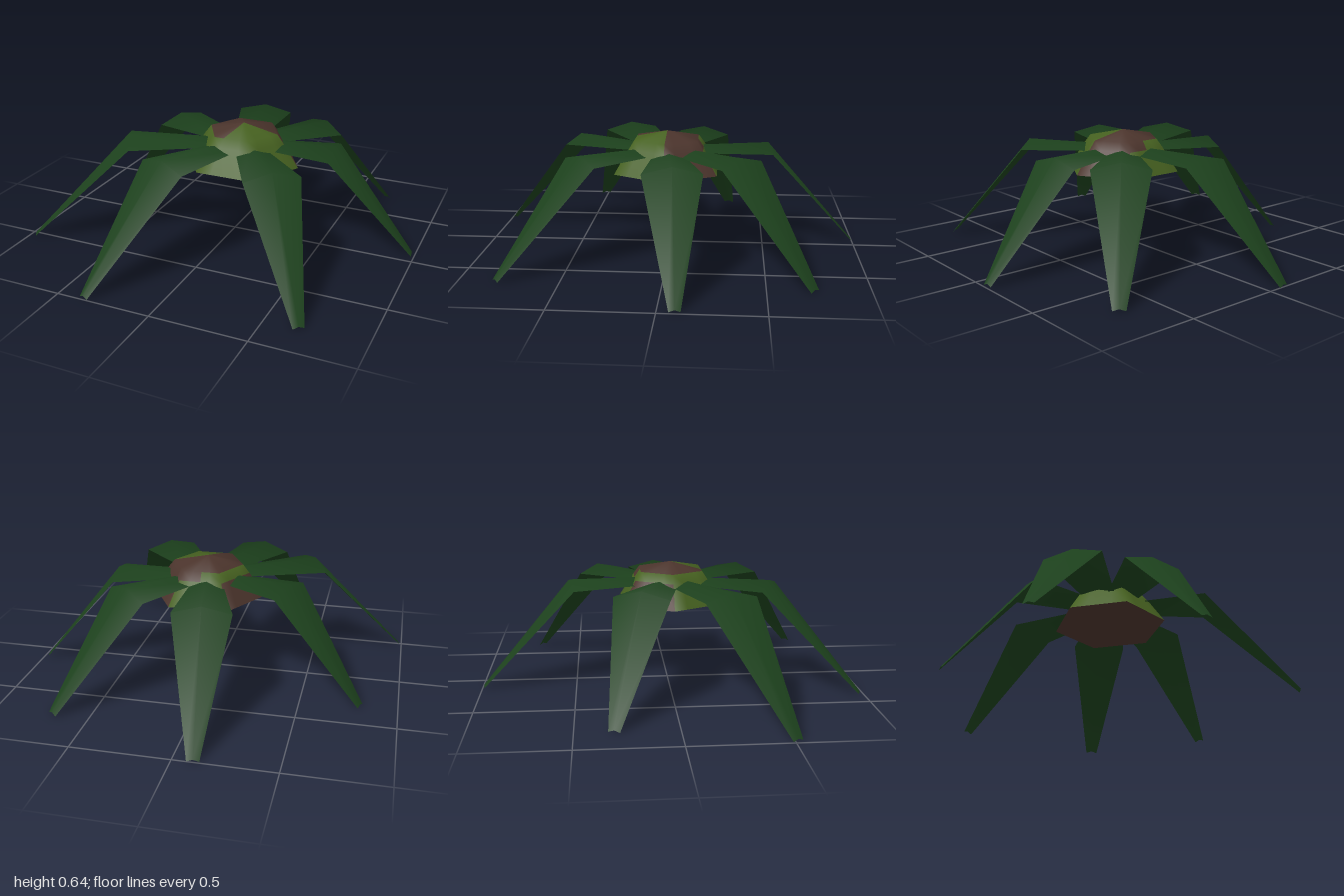
import * as THREE from 'three';
import { toCreasedNormals } from 'three/addons/utils/BufferGeometryUtils.js';

const flat = (name, color) => {
  const m = new THREE.MeshStandardMaterial({ color });
  m.name = name;
  return m;
};

const CX = 0.06, CZ = 0.02; // centre of the crown

// Grid of rows of points -> indexed geometry; pick(row, col) gives the material group.
function gridGeometry(rows, pick = () => 0, groups = 1) {
  const cols = rows[0].length;
  const geo = new THREE.BufferGeometry();
  geo.setAttribute('position', new THREE.Float32BufferAttribute(rows.flat(2), 3));
  const lists = Array.from({ length: groups }, () => []);
  for (let r = 0; r < rows.length - 1; r++) {
    for (let c = 0; c < cols - 1; c++) {
      const a = r * cols + c, b = a + 1, d = a + cols, e = d + 1;
      lists[pick(r, c)].push(a, b, d, b, e, d);
    }
  }
  geo.setIndex(lists.flat());
  let start = 0;
  lists.forEach((l, i) => { geo.addGroup(start, l.length, i); start += l.length; });
  return geo;
}

// Six-sided bulb with a low pointed cap and a shallow hollow underneath
function makeCore(green, brown) {
  const profile = [[0.001, 0.465], [0.31, 0.43], [0.225, 0.555], [0.19, 0.6], [0.001, 0.64]];
  const steps = 24;
  const rows = profile.map(([radius, y]) => {
    const row = [];
    for (let i = 0; i <= steps; i++) {
      // rows rise while the angle falls, so faces turn outward
      const deg = 360 - i * 15;
      const t = THREE.MathUtils.degToRad(deg);
      const fold = THREE.MathUtils.degToRad((deg % 60) - 30);
      const k = radius * Math.cos(Math.PI / 6) / Math.cos(fold);
      row.push([CX + k * Math.cos(t), y, CZ + k * Math.sin(t)]);
    }
    return row;
  });
  // patches of green (0) and brown (1): hollow, side, shoulder, cap
  const pick = (r, c) => {
    const deg = 352.5 - c * 15;
    if (r === 0) return 1;
    if (r === 1) return deg < 180 || (deg > 240 && deg < 300) ? 0 : 1;
    if (r === 2) return deg < 270 ? 0 : 1;
    return deg < 105 ? 0 : 1;
  };
  const geo = toCreasedNormals(gridGeometry(rows, pick, 2), 1.05);
  const mesh = new THREE.Mesh(geo, [green, brown]);
  mesh.name = 'core';
  return mesh;
}

// Drooping leaf: root, knee and tip, each with a raised midrib
function makeLeaf([ax, az, bx, bz, tax, taz, tbx, tbz, kneeY], material) {
  const dir = new THREE.Vector2((ax + bx) / 2 - CX, (az + bz) / 2 - CZ).normalize();
  const rx = CX + dir.x * 0.1, rz = CZ + dir.y * 0.1, w = 0.075;
  const section = (x1, z1, x2, z2, edgeY, midY) => [
    [x1, edgeY, z1], [(x1 + x2) / 2, midY, (z1 + z2) / 2], [x2, edgeY, z2],
  ];
  const rows = [
    section(tax, taz, tbx, tbz, 0, 0.01),
    section(ax, az, bx, bz, kneeY - 0.037, kneeY),
    section(rx + dir.y * w, rz - dir.x * w, rx - dir.y * w, rz + dir.x * w, 0.53, 0.558),
  ];
  const geo = gridGeometry(rows);
  // turn the upper side upward
  geo.computeVertexNormals();
  if (geo.attributes.normal.getY(4) < 0) {
    geo.setIndex(Array.from(geo.index.array).reverse());
    geo.computeVertexNormals();
  }
  return new THREE.Mesh(geo, material);
}

export function createModel() {
  const leafGreen = flat('leaf green', 0x1c401c);
  const mossGreen = flat('moss green', 0x466120);
  const barkBrown = flat('bark brown', 0x4b342c);
  leafGreen.side = THREE.DoubleSide;

  const model = new THREE.Group();
  model.name = 'plant';
  model.add(makeCore(mossGreen, barkBrown));

  // knee edges (x,z twice), tip edges (x,z twice), knee height
  const leaves = [
    [-0.18, -0.5, 0.12, -0.54, -0.13, -0.99, -0.07, -1.0, 0.565],
    [0.28, -0.475, 0.51, -0.28, 0.67, -0.75, 0.72, -0.71, 0.57],
    [0.535, -0.19, 0.56, 0.11, 0.98, -0.11, 0.985, -0.055, 0.558],
    [0.5, 0.345, 0.27, 0.53, 0.695, 0.8, 0.65, 0.835, 0.568],
    [-0.025, 0.585, -0.305, 0.465, -0.34, 0.995, -0.39, 0.975, 0.572],
    [-0.42, 0.415, -0.56, 0.14, -0.965, 0.54, -0.99, 0.49, 0.58],
    [-0.46, -0.02, -0.35, -0.3, -0.82, -0.285, -0.8, -0.34, 0.575],
  ];
  leaves.forEach((data, i) => {
    const leaf = makeLeaf(data, leafGreen);
    leaf.name = `leaf${i + 1}`;
    model.add(leaf);
  });
  return model;
}
